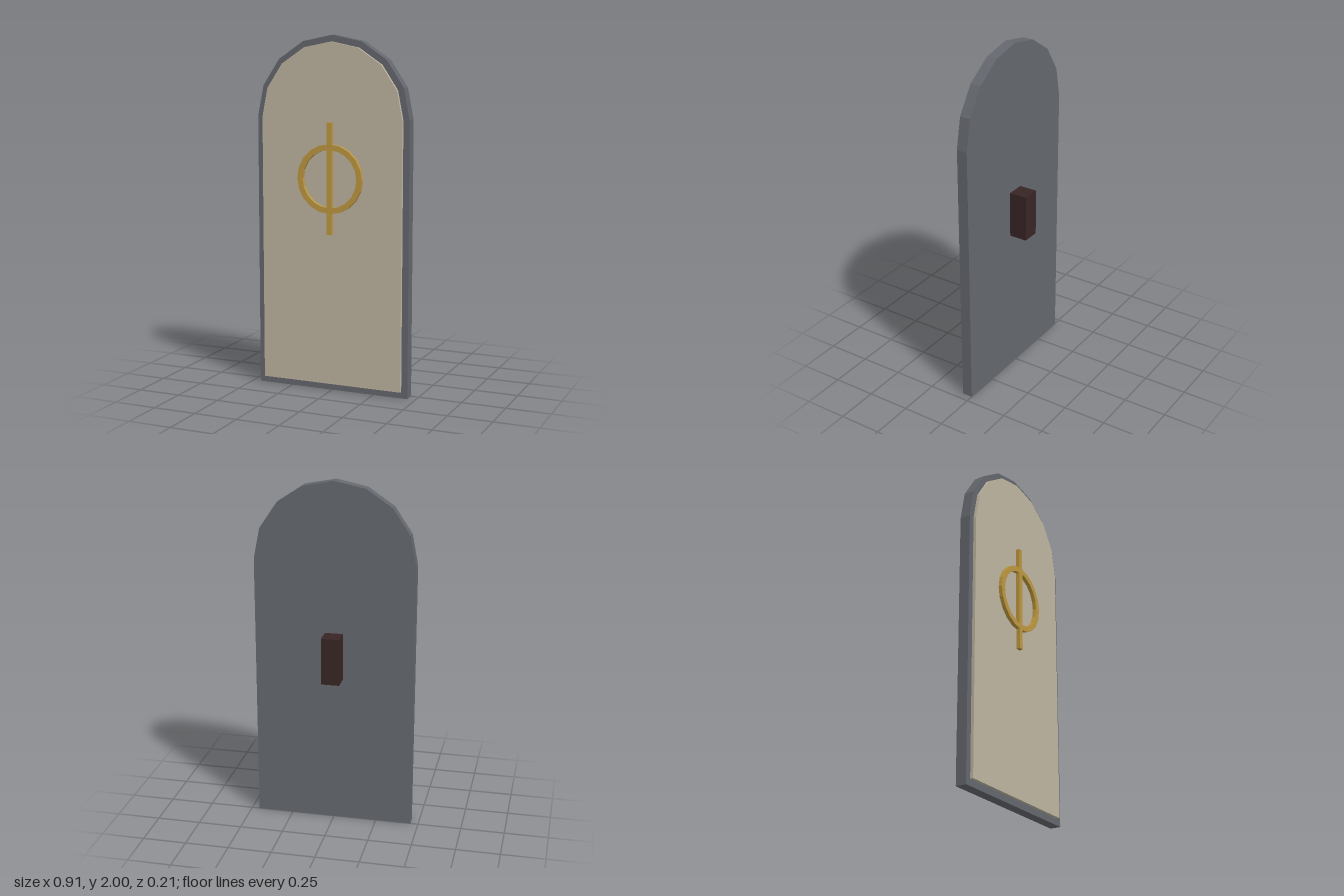
import * as THREE from 'three';

const mat = (name, color) => Object.assign(new THREE.MeshStandardMaterial({ color }), { name });

// Round-topped outline with an eight-sided half-circle arch
function archShape(radius, bottom, springY) {
  const shape = new THREE.Shape();
  shape.moveTo(-radius, bottom);
  shape.lineTo(radius, bottom);
  for (let i = 0; i <= 8; i++) {
    const a = (i / 8) * Math.PI;
    shape.lineTo(radius * Math.cos(a), springY + radius * Math.sin(a));
  }
  shape.closePath();
  return shape;
}

function circlePoints(radius, sides) {
  return Array.from({ length: sides }, (_, i) => {
    const a = (i / sides) * Math.PI * 2;
    return new THREE.Vector2(radius * Math.cos(a), radius * Math.sin(a));
  });
}

export function createModel() {
  const model = new THREE.Group();
  model.name = 'archedPlaque';
  const slate = mat('slate grey', 0x64676d);
  const cream = mat('warm cream', 0xbdb5a1);
  const gold = mat('gold', 0xbd9840);
  const darkWood = mat('dark wood', 0x382525);

  const add = (name, geometry, material, x, y, z) => {
    const mesh = new THREE.Mesh(geometry, material);
    mesh.name = name;
    mesh.position.set(x, y, z);
    model.add(mesh);
  };
  const extrude = (shape, depth) =>
    new THREE.ExtrudeGeometry(shape, { depth, bevelEnabled: false, curveSegments: 1 });

  // Backing slab and raised face panel
  add('backingSlab', extrude(archShape(0.455, 0, 1.545), 0.062), slate, 0, 0, 0);
  add('facePanel', extrude(archShape(0.419, 0.038, 1.545), 0.018), cream, 0, 0, 0.062);

  // Emblem: faceted ring crossed by an upright bar
  const ring = new THREE.Shape(circlePoints(0.194, 20));
  ring.holes.push(new THREE.Path(circlePoints(0.162, 20)));
  add('emblemRing', extrude(ring, 0.022), gold, 0, 1.211, 0.08);
  add('emblemBar', new THREE.BoxGeometry(0.03, 0.625, 0.023), gold, 0, 1.2125, 0.0915);

  // Grip on the back
  add('backGrip', new THREE.BoxGeometry(0.104, 0.27, 0.104), darkWood, 0, 1.004, -0.052);

  return model;
}
